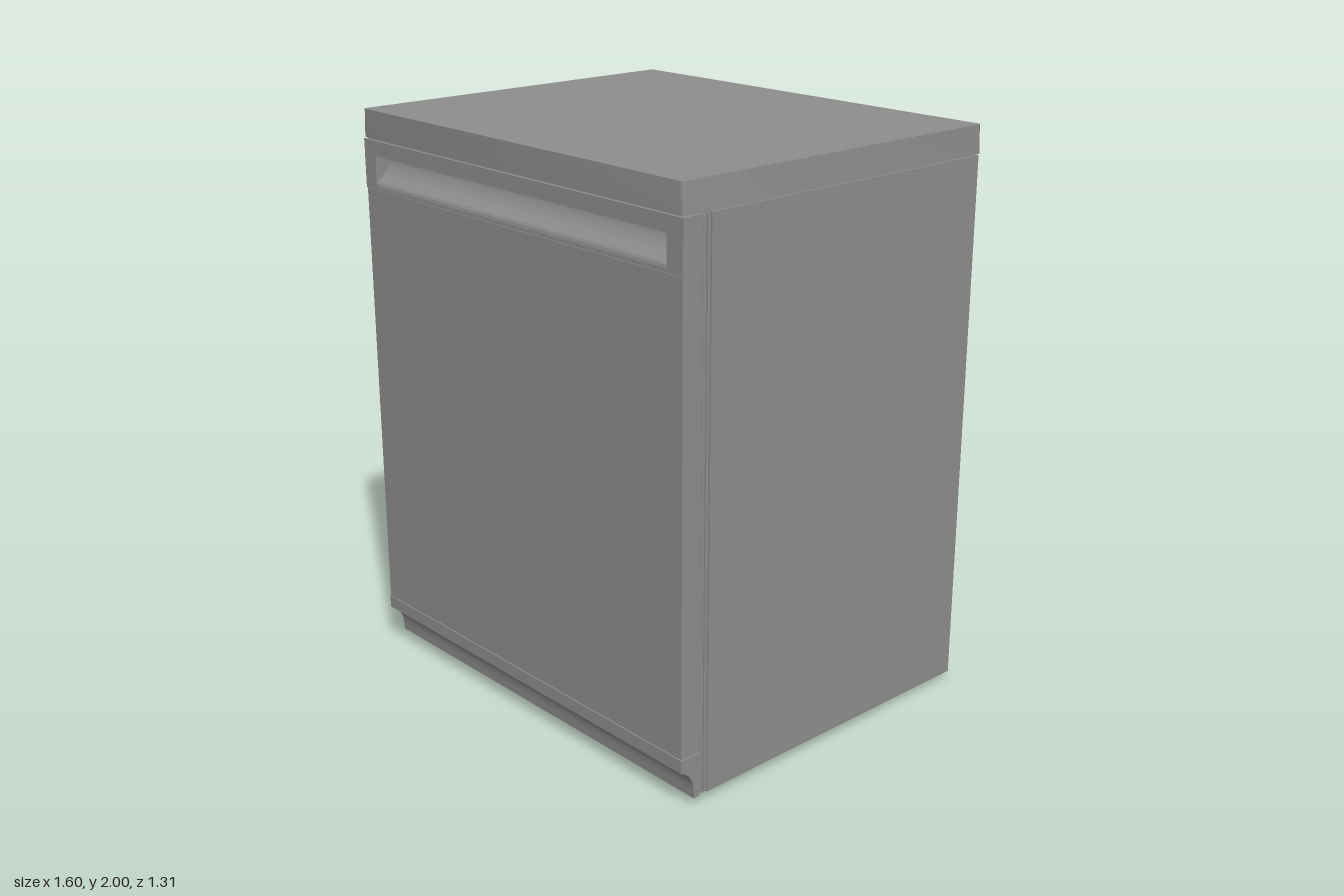
import * as THREE from 'three';
import { toCreasedNormals } from 'three/addons/utils/BufferGeometryUtils.js';

export function createModel() {
  const group = new THREE.Group();
  const material = new THREE.MeshStandardMaterial({ color: 0x8e8e8e });

  const add = (name, geometry) => {
    const mesh = new THREE.Mesh(geometry, material);
    mesh.name = name;
    group.add(mesh);
    return mesh;
  };

  // Box given by its extents on each axis
  const box = (name, x0, x1, y0, y1, z0, z1) =>
    add(name, new THREE.BoxGeometry(x1 - x0, y1 - y0, z1 - z0)
      .translate((x0 + x1) / 2, (y0 + y1) / 2, (z0 + z1) / 2));

  // Side profile drawn in (z, y), swept along x from x0 to x1
  const sweep = (name, shape, x0, x1) => {
    const g = new THREE.ExtrudeGeometry(shape, { depth: x1 - x0, bevelEnabled: false, curveSegments: 16 });
    g.rotateY(-Math.PI / 2).translate(x1, 0, 0);
    return add(name, toCreasedNormals(g, 0.5));
  };

  // Cabinet
  box('cabinet', -0.793, 0.793, 0.03, 1.898, -0.652, 0.54);

  // Worktop: sides lean in slightly toward the top, rounded vertical corners
  const w = 0.799, d = 0.655, r = 0.012;
  const slab = new THREE.Shape();
  slab.moveTo(-w + r, -d);
  slab.lineTo(w - r, -d);
  slab.quadraticCurveTo(w, -d, w, -d + r);
  slab.lineTo(w, d - r);
  slab.quadraticCurveTo(w, d, w - r, d);
  slab.lineTo(-w + r, d);
  slab.quadraticCurveTo(-w, d, -w, d - r);
  slab.lineTo(-w, -d + r);
  slab.quadraticCurveTo(-w, -d, -w + r, -d);
  const top = new THREE.ExtrudeGeometry(slab, { depth: 0.096, bevelEnabled: false, curveSegments: 4 });
  top.rotateX(-Math.PI / 2).translate(0, 1.904, 0);
  const p = top.attributes.position;
  for (let i = 0; i < p.count; i++) if (p.getY(i) > 1.95) p.setX(i, p.getX(i) * 0.993);
  add('worktop', toCreasedNormals(top, 0.5));
  box('worktopGap', -0.785, 0.785, 1.89, 1.91, -0.645, 0.645);

  // Door seal: recessed core with raised ribs
  box('sealCore', -0.785, 0.785, 0.035, 1.893, 0.53, 0.59);
  for (const [z0, z1] of [[0.545, 0.556], [0.561, 0.574]]) box('sealRib', -0.792, 0.792, 0.035, 1.896, z0, z1);

  // Door panel
  box('door', -0.795, 0.795, 0.188, 1.727, 0.578, 0.654);

  // Control panel with a scooped grip between two solid ends
  const gripL = -0.735, gripR = 0.73;
  box('panelEnd', -0.798, gripL, 1.729, 1.898, 0.58, 0.656);
  box('panelEnd', gripR, 0.798, 1.729, 1.898, 0.58, 0.656);
  const grip = new THREE.Shape();
  grip.moveTo(0.58, 1.729);
  grip.lineTo(0.656, 1.729);
  grip.lineTo(0.656, 1.738);
  grip.quadraticCurveTo(0.656, 1.752, 0.646, 1.76);
  grip.bezierCurveTo(0.625, 1.778, 0.599, 1.8, 0.597, 1.845);
  grip.lineTo(0.656, 1.845);
  grip.lineTo(0.656, 1.898);
  grip.lineTo(0.58, 1.898);
  sweep('gripPanel', grip, gripL, gripR);

  // Kick plate with concave lower front
  const kick = new THREE.Shape();
  kick.moveTo(0.578, 0.031);
  kick.lineTo(0.6, 0.031);
  kick.lineTo(0.602, 0.055);
  kick.bezierCurveTo(0.604, 0.1, 0.625, 0.13, 0.656, 0.141);
  kick.lineTo(0.656, 0.186);
  kick.lineTo(0.578, 0.186);
  sweep('kickPlate', kick, -0.797, 0.797);

  // Levelling feet
  for (const x of [-0.72, 0.72]) {
    for (const z of [0.495, -0.585]) {
      const profile = [[0, 0], [0.036, 0], [0.039, 0.004], [0.039, 0.016], [0.034, 0.02], [0.018, 0.021], [0.018, 0.036]]
        .map(([a, b]) => new THREE.Vector2(a, b));
      add('foot', toCreasedNormals(new THREE.LatheGeometry(profile, 24), 0.6)).position.set(x, 0, z);
    }
  }

  return group;
}
